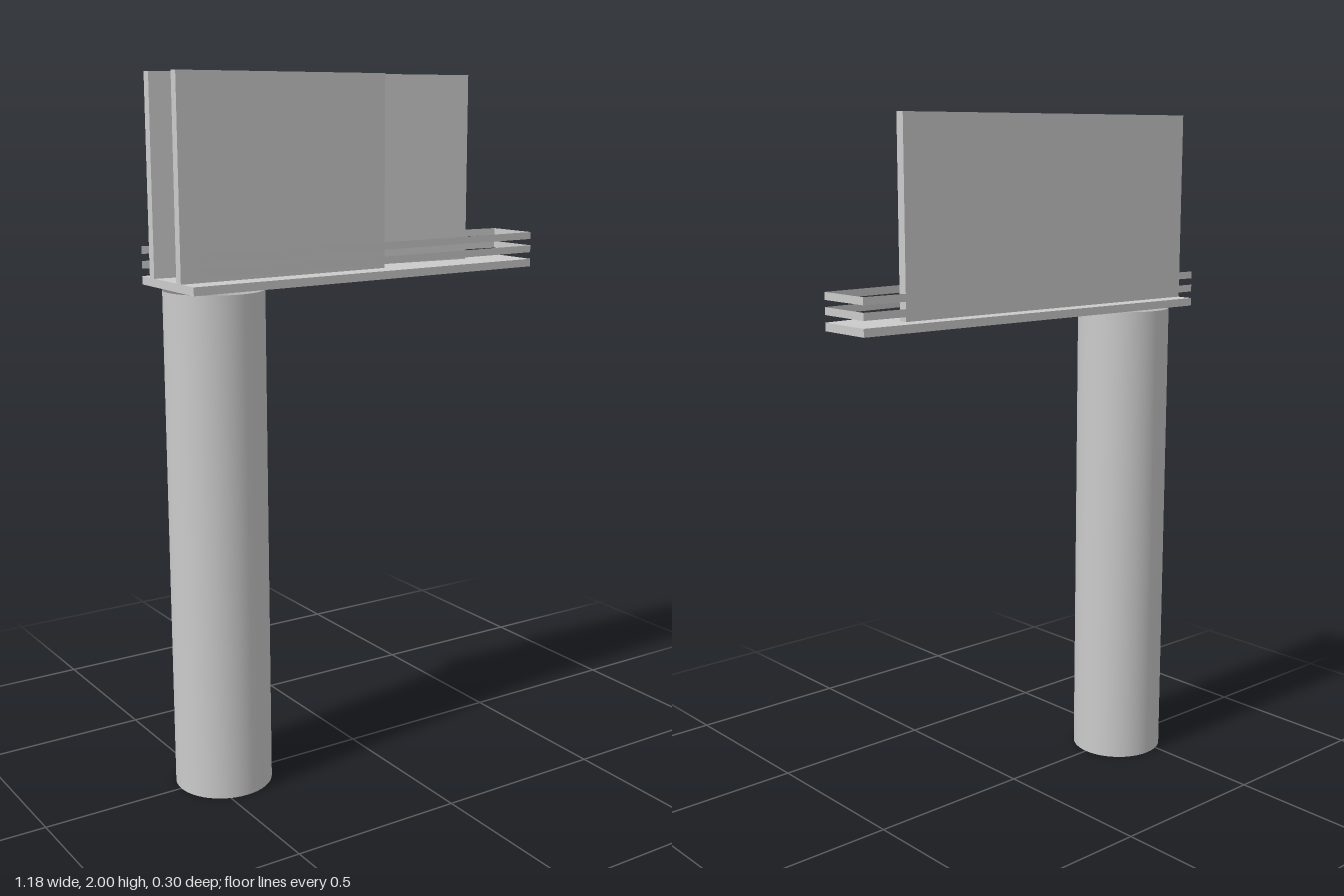
import * as THREE from 'three';

const material = new THREE.MeshStandardMaterial({ color: 0xcccccc });
const thin = new THREE.MeshStandardMaterial({ color: 0xcccccc, side: THREE.DoubleSide });

// Upright prism from a plan outline of [x, z] points
function prism(name, outline, y0, y1) {
  const shape = new THREE.Shape(outline.map(([x, z]) => new THREE.Vector2(x, -z)));
  const geometry = new THREE.ExtrudeGeometry(shape, { depth: y1 - y0, bevelEnabled: false });
  geometry.rotateX(-Math.PI / 2).translate(0, y0, 0);
  const mesh = new THREE.Mesh(geometry, material);
  mesh.name = name;
  return mesh;
}

// Thin upright band along an open plan path of [x, z] points
function band(name, path, y0, y1) {
  const positions = [];
  for (let i = 0; i < path.length - 1; i++) {
    const [ax, az] = path[i];
    const [bx, bz] = path[i + 1];
    positions.push(ax, y0, az, bx, y0, bz, bx, y1, bz);
    positions.push(ax, y0, az, bx, y1, bz, ax, y1, az);
  }
  const geometry = new THREE.BufferGeometry();
  geometry.setAttribute('position', new THREE.Float32BufferAttribute(positions, 3));
  geometry.computeVertexNormals();
  const mesh = new THREE.Mesh(geometry, thin);
  mesh.name = name;
  return mesh;
}

export function createModel() {
  const model = new THREE.Group();
  model.name = 'billboard';

  // Hollow pole, open at both ends
  const pole = new THREE.Mesh(new THREE.CylinderGeometry(0.139, 0.139, 1.427, 48, 1, true), thin);
  pole.name = 'pole';
  pole.position.set(-0.451, 1.427 / 2, 0);
  model.add(pole);

  // Tapered platform
  const edge = [[-0.59, 0.152], [0.59, 0.0865], [0.59, -0.0865], [-0.59, -0.152]];
  model.add(prism('platform', edge, 1.434, 1.457));

  // Guard rails around three sides, open at the wide end
  [1.477, 1.517].forEach((y, i) => model.add(band(`guardRail${i + 1}`, edge, y, y + 0.021)));

  // Two display panels, angled to follow the platform sides
  model.add(prism('frontPanel',
    [[-0.592, 0.084], [0.076, 0.049], [0.076, 0.023], [-0.592, 0.058]], 1.457, 2));
  model.add(prism('backPanel',
    [[-0.592, -0.073], [0.424, -0.021], [0.424, -0.048], [-0.592, -0.1]], 1.457, 2));

  return model;
}
